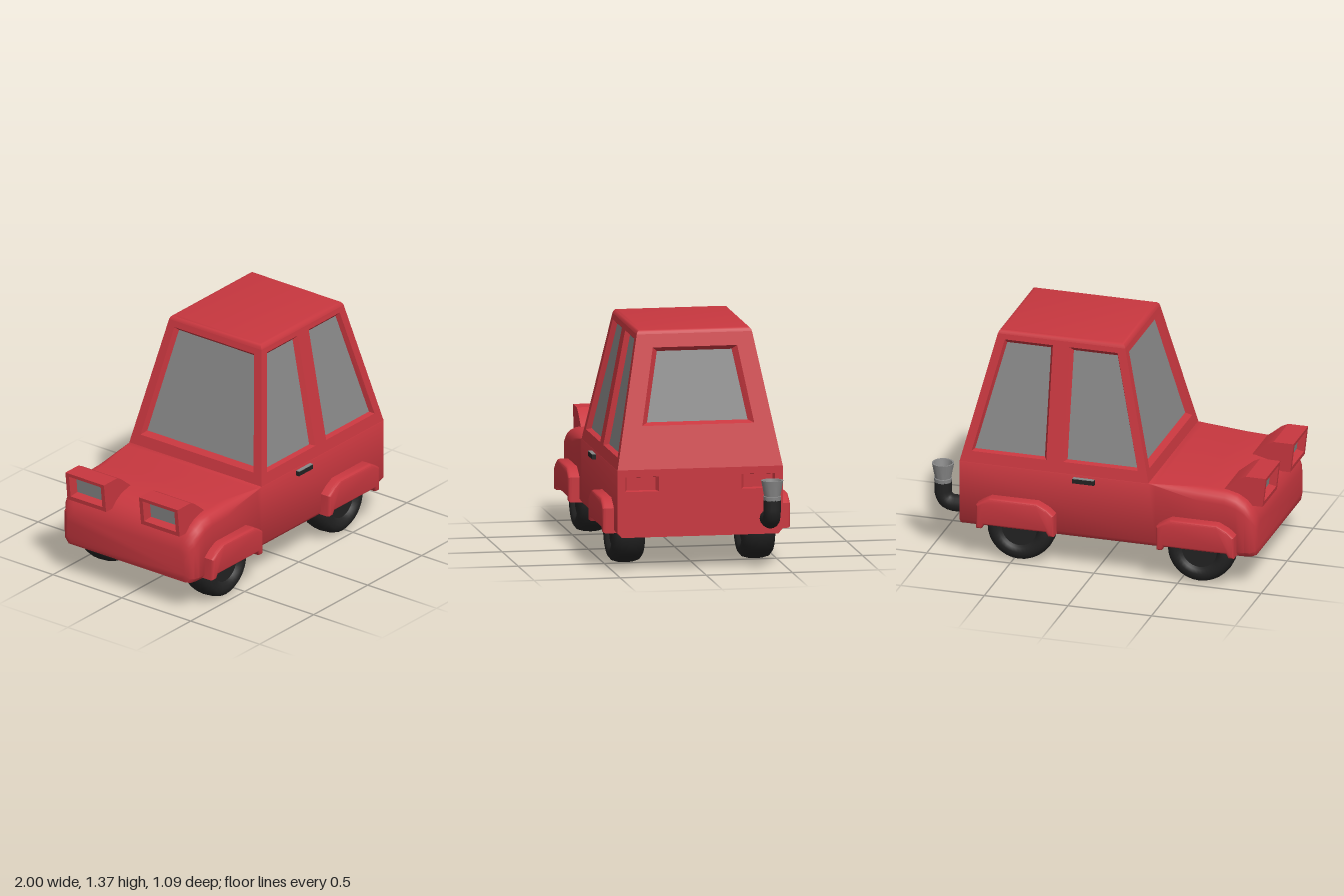
import * as THREE from 'three';
import { mergeGeometries, toCreasedNormals } from 'three/addons/utils/BufferGeometryUtils.js';

const V = (x, y, z) => new THREE.Vector3(x, y, z);
const mat = (name, color) => new THREE.MeshStandardMaterial({ name, color });

// Cabin slopes: 0 at the waist line, 1 at the roof
const rise = y => Math.max(0, (y - 0.59) / 0.78);
const xFront = y => -0.32 + 0.19 * rise(y);
const xBack = y => 0.81 - 0.19 * rise(y);
const halfW = y => 0.48 - 0.15 * rise(y);

// Flat-shaded polygons from corner loops
function polygons(loops) {
  const pts = [];
  for (const l of loops)
    for (let i = 1; i < l.length - 1; i++) pts.push(l[0], l[i], l[i + 1]);
  const g = new THREE.BufferGeometry().setFromPoints(pts);
  g.computeVertexNormals();
  return g;
}

// Skin between closed rings that run counter-clockwise about the direction of travel
function loft(rings, capStart, capEnd, crease = 0.7) {
  const faces = [];
  for (let r = 0; r < rings.length - 1; r++) {
    const a = rings[r], b = rings[r + 1], n = a.length;
    for (let k = 0; k < n; k++) faces.push([a[k], a[(k + 1) % n], b[(k + 1) % n], b[k]]);
  }
  if (capStart) faces.push([...rings[0]].reverse());
  if (capEnd) faces.push(rings[rings.length - 1]);
  return toCreasedNormals(polygons(faces), crease);
}

// Sheet with sunken openings; place(u, y, depth) puts it in space
function panel(name, outline, openings, depth, place, skin, pane) {
  const group = new THREE.Group();
  group.name = name;
  const vec = l => l.map(p => new THREE.Vector2(p[0], p[1]));
  const ccw = l => (THREE.ShapeUtils.isClockWise(l) ? l.reverse() : l);
  const shape = new THREE.Shape(vec(outline));
  const reveals = [], panes = [];
  for (const o of openings) {
    const outer = ccw(vec(o.outer)), inner = ccw(vec(o.inner));
    shape.holes.push(new THREE.Path(outer));
    const A = outer.map(p => place(p.x, p.y, 0)), B = inner.map(p => place(p.x, p.y, depth));
    A.forEach((p, k) => reveals.push([p, A[(k + 1) % 4], B[(k + 1) % 4], B[k]]));
    panes.push(B);
  }
  const sheet = new THREE.ShapeGeometry(shape).toNonIndexed();
  sheet.deleteAttribute('uv');
  const pos = sheet.attributes.position;
  for (let i = 0; i < pos.count; i++) {
    const p = place(pos.getX(i), pos.getY(i), 0);
    pos.setXYZ(i, p.x, p.y, p.z);
  }
  sheet.computeVertexNormals();
  const frame = new THREE.Mesh(mergeGeometries([sheet, polygons(reveals)]), skin);
  frame.name = name + 'Frame';
  const glass = new THREE.Mesh(polygons(panes), pane);
  glass.name = name + 'Pane';
  group.add(frame, glass);
  return group;
}

// Symmetric trapezoid: half widths w0 at y0, w1 at y1
const trap = (w0, y0, w1, y1) => [[-w0, y0], [w0, y0], [w1, y1], [-w1, y1]];
const rect = (u0, u1, y0, y1) => [[u0, y0], [u1, y0], [u1, y1], [u0, y1]];

export function createModel() {
  const car = new THREE.Group();
  car.name = 'car';
  const red = mat('red paint', 0xc8373f), grey = mat('grey glass', 0x888888), black = mat('black rubber', 0x222222);
  const add = (name, geo, m, x = 0, y = 0, z = 0, parent = car) => {
    const mesh = new THREE.Mesh(geo, m);
    mesh.name = name;
    mesh.position.set(x, y, z);
    parent.add(mesh);
    return mesh;
  };

  // Lower body: sections [x, half width, bottom, top, shoulder radius]
  const section = ([x, w, bottom, top, r]) => {
    const ring = [[-w + 0.025, bottom], [w - 0.025, bottom], [w, bottom + 0.03]];
    for (let i = 0; i <= 5; i++) {
      const a = i / 5 * Math.PI / 2;
      ring.push([w - r + r * Math.cos(a), top - r + r * Math.sin(a)]);
    }
    for (let i = 5; i >= 0; i--) ring.push([-ring[3 + i][0], ring[3 + i][1]]);
    ring.push([-w, bottom + 0.03]);
    return ring.map(([h, y]) => V(x, y, -h));
  };
  add('lowerBody', loft([
    [-0.96, 0.425, 0.225, 0.40, 0.05], [-0.95, 0.45, 0.205, 0.45, 0.06], [-0.925, 0.469, 0.2, 0.497, 0.07],
    [-0.89, 0.478, 0.2, 0.535, 0.07], [-0.84, 0.48, 0.2, 0.565, 0.07], [-0.77, 0.48, 0.2, 0.583, 0.07],
    [-0.62, 0.48, 0.2, 0.59, 0.07], [-0.36, 0.48, 0.2, 0.59, 0.01], [-0.32, 0.48, 0.2, 0.592, 0.005],
    [0.81, 0.48, 0.2, 0.592, 0.005],
  ].map(section), true, false), red);
  add('chassisPlate', new THREE.BoxGeometry(1.5, 0.02, 0.82), black, -0.06, 0.2, 0);

  // Rear face with two sunken lamp pockets
  const pockets = [-1, 1].map(s => ({
    outer: rect(s * 0.24, s * 0.435, 0.465, 0.55), inner: rect(s * 0.255, s * 0.425, 0.47, 0.545),
  }));
  add('rearSeam', new THREE.BoxGeometry(0.005, 0.01, 0.95), red, 0.8, 0.588, 0);
  car.add(panel('rearFace', [[-0.455, 0.2], [0.455, 0.2], [0.48, 0.23], [0.48, 0.592], [-0.48, 0.592], [-0.48, 0.23]],
    pockets, 0.025, (u, y, d) => V(0.81 - d, y, -u), red, red));

  // Cabin walls and windows
  const yA = 0.59, yB = 1.345;
  const sideWindow = {
    outer: [[-0.252, 0.655], [0.195, 0.655], [0.195, 1.315], [-0.092, 1.315]],
    inner: [[-0.24, 0.662], [0.177, 0.662], [0.177, 1.29], [-0.085, 1.29]],
  };
  const remap = (o, f) => ({ outer: o.outer.map(f), inner: o.inner.map(f) });
  const rearWindow = remap(sideWindow, ([x, y]) => [0.49 - x, y]);
  for (const s of [1, -1]) {
    const flip = ([x, y]) => [s * x, y];
    car.add(panel(s > 0 ? 'leftCabinSide' : 'rightCabinSide',
      [[xFront(yA), yA], [xBack(yA), yA], [xBack(yB), yB], [xFront(yB), yB]].map(flip),
      [remap(sideWindow, flip), remap(rearWindow, flip)], 0.03,
      (u, y, d) => V(s * u, y, s * (halfW(y) - d)), red, grey));
  }
  const wall = trap(halfW(yA), yA, halfW(yB), yB);
  car.add(panel('windshieldWall', wall,
    [{ outer: trap(0.41, 0.655, 0.29, 1.31), inner: trap(0.388, 0.675, 0.275, 1.288) }], 0.03,
    (u, y, d) => V(xFront(y) + d, y, u), red, grey));
  car.add(panel('rearWindowWall', wall,
    [{ outer: trap(0.325, 0.835, 0.245, 1.27), inner: trap(0.292, 0.85, 0.217, 1.245) }], 0.03,
    (u, y, d) => V(xBack(y) - d, y, -u), red, grey));

  // Roof with softened rim
  const roofRing = ([y, i]) => {
    const a = xFront(yB) + i, b = xBack(yB) - i, w = halfW(yB) - i;
    return [V(a, y, w), V(b, y, w), V(b, y, -w), V(a, y, -w)];
  };
  add('roof', loft([[1.345, 0], [1.358, 0.005], [1.367, 0.014], [1.37, 0.028]].map(roofRing), false, true, 0.9), red);

  // Raised headlights
  for (const s of [1, -1]) {
    const lamp = new THREE.Group();
    lamp.name = s > 0 ? 'leftHeadlight' : 'rightHeadlight';
    lamp.position.z = s * 0.267 - 0.003;
    const ring = (xb, yb, xt, yt) => [V(xb, yb, 0.14), V(xb, yb, -0.14), V(xt, yt, -0.14), V(xt, yt, 0.14)];
    add('headlightShell', loft([ring(-0.98, 0.5, -1, 0.675), ring(-0.88, 0.5, -0.88, 0.675),
      ring(-0.84, 0.5, -0.84, 0.655), ring(-0.75, 0.5, -0.75, 0.582)], false, true, 0.3), red, 0, 0, 0, lamp);
    lamp.add(panel('headlightFront', rect(-0.14, 0.14, 0.5, 0.675),
      [{ outer: rect(-0.115, 0.115, 0.525, 0.655), inner: rect(-0.095, 0.095, 0.545, 0.635) }], 0.04,
      (u, y, d) => V(-0.98 - 0.02 * (y - 0.5) / 0.175 + d, y, u), red, grey));
    car.add(lamp);
  }

  // Wheels and fenders
  const half = [[0, 0.07], [0.105, 0.07], [0.118, 0.088], [0.14, 0.097], [0.165, 0.093], [0.187, 0.075], [0.197, 0.04]];
  const tyre = [...half.map(([r, t]) => [r, -t]), [0.2, 0], ...[...half].reverse()].map(p => new THREE.Vector2(...p));
  const wheelGeo = toCreasedNormals(new THREE.LatheGeometry(tyre, 32), 0.7).rotateX(Math.PI / 2);
  const fenderShape = new THREE.Shape([[-0.232, 0.21], [-0.2, 0.21], [-0.185, 0.235], [0.185, 0.235], [0.2, 0.21],
    [0.232, 0.21], [0.232, 0.355], [0.2, 0.378], [0.15, 0.405], [-0.13, 0.405], [-0.19, 0.375], [-0.232, 0.34]]
    .map(p => new THREE.Vector2(...p)));
  const fenderGeo = toCreasedNormals(new THREE.ExtrudeGeometry(fenderShape, {
    depth: 0.1, bevelSize: 0.014, bevelOffset: -0.014, bevelThickness: 0.02, bevelSegments: 3,
  }), 0.6).translate(0, 0, -0.05);
  for (const [end, x] of [['front', -0.615], ['rear', 0.463]])
    for (const s of [1, -1]) {
      const side = s > 0 ? 'Left' : 'Right';
      add(end + side + 'Wheel', wheelGeo, black, x, 0.203, s * 0.378);
      add(end + side + 'Fender', fenderGeo, red, x, 0, s * 0.475);
    }

  // Door handles
  for (const s of [1, -1]) {
    add('doorHandle', new THREE.BoxGeometry(0.13, 0.027, 0.03), black, 0.065, 0.558, s * 0.487);
    add('handleTrim', new THREE.BoxGeometry(0.126, 0.004, 0.03), grey, 0.065, 0.573, s * 0.487);
  }

  // Exhaust pipe with flared tip
  const path = new THREE.CurvePath();
  const p = [V(0.77, 0.29, -0.395), V(0.86, 0.29, -0.395), V(0.935, 0.36, -0.395), V(0.935, 0.43, -0.395)];
  path.add(new THREE.LineCurve3(p[0], p[1]));
  path.add(new THREE.QuadraticBezierCurve3(p[1], V(0.93, 0.29, -0.395), p[2]));
  path.add(new THREE.LineCurve3(p[2], p[3]));
  add('exhaustPipe', new THREE.TubeGeometry(path, 16, 0.05, 14), black);
  const tip = [[0.05, 0.415], [0.052, 0.438], [0.047, 0.44], [0.064, 0.53], [0.054, 0.53], [0.035, 0.45], [0, 0.45]];
  add('exhaustTip', toCreasedNormals(new THREE.LatheGeometry(tip.map(q => new THREE.Vector2(...q)), 20), 0.6),
    grey, 0.935, 0, -0.395);
  add('exhaustBore', new THREE.CylinderGeometry(0.02, 0.02, 0.006, 16), black, 0.935, 0.451, -0.395);
  return car;
}
